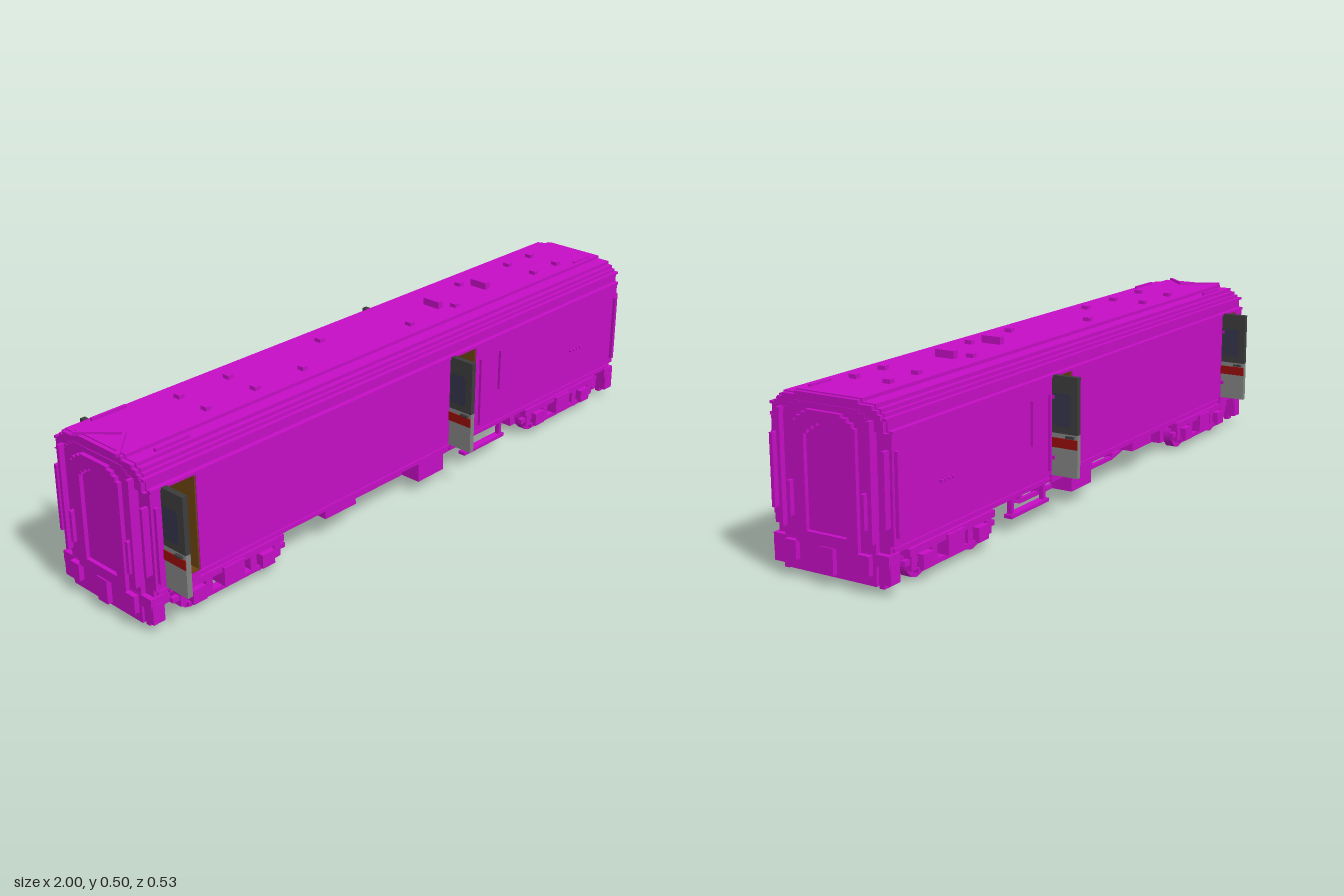
import * as THREE from 'three';

const mat = (name, color) => {
  const m = new THREE.MeshStandardMaterial({ color });
  m.name = name;
  return m;
};

export function createModel() {
  const body = mat('magenta', 0xc40ec4), dark = mat('dark grey', 0x3c3c3c), grey = mat('grey', 0x828282);
  const glass = mat('blue glass', 0x34344c), red = mat('red', 0x960c0c), wood = mat('brown', 0x6b4410);
  const model = new THREE.Group();

  const add = (name, geo, m = body, parent = model) => {
    const mesh = new THREE.Mesh(geo, m);
    mesh.name = name;
    parent.add(mesh);
    return mesh;
  };
  // Box from its minimum and maximum along each axis
  const box = (name, x0, x1, y0, y1, z0, z1, m = body, parent = model) => {
    const g = new THREE.BoxGeometry(x1 - x0, y1 - y0, z1 - z0);
    g.translate((x0 + x1) / 2, (y0 + y1) / 2, (z0 + z1) / 2);
    return add(name, g, m, parent);
  };
  // Symmetric cross-section from [half width, y] points, run along x
  const outline = (half, Type = THREE.Shape) => new Type([
    ...half.map(([z, y]) => new THREE.Vector2(z, y)),
    ...half.slice().reverse().map(([z, y]) => new THREE.Vector2(-z, y))]);
  const alongX = (name, shape, x0, x1, m = body) => {
    const g = new THREE.ExtrudeGeometry(shape, { depth: x1 - x0, bevelEnabled: false });
    g.rotateY(Math.PI / 2).translate(x0, 0, 0);
    return add(name, g, m);
  };
  // Square bar between two points
  const bar = (name, a, b, t, parent = model) => {
    const A = new THREE.Vector3(...a), B = new THREE.Vector3(...b);
    const mesh = add(name, new THREE.BoxGeometry(t, t, A.distanceTo(B)), body, parent);
    mesh.position.copy(A).add(B).multiplyScalar(0.5);
    mesh.lookAt(B);
    return mesh;
  };

  // Stepped body shell with two cross passages
  const roof = [[0.183, 0.405], [0.172, 0.405], [0.172, 0.435], [0.165, 0.435], [0.165, 0.446],
    [0.155, 0.446], [0.155, 0.456], [0.14, 0.456], [0.14, 0.466], [0.1, 0.466], [0.1, 0.475]];
  const wall = [[0.172, 0.1], [0.172, 0.125], [0.183, 0.125]];
  const doorways = [[-0.925, -0.825], [0.15, 0.255]];
  [[-0.97, -0.925], [-0.825, 0.15], [0.255, 0.97]].forEach(([a, b]) =>
    alongX('bodyShell', outline([...wall, ...roof]), a, b));
  for (const [a, b] of doorways) {
    alongX('doorwayRoof', outline(roof), a, b);
    box('doorwaySill', a, b, 0.1, 0.123, -0.18, 0.18);
    box('passageFloor', a, b, 0.123, 0.126, -0.18, 0.18, wood);
    box('passageCeiling', a, b, 0.401, 0.405, -0.18, 0.18, wood);
    box('passageWall', a, a + 0.004, 0.125, 0.405, -0.18, 0.18, wood);
    box('passageWall', b - 0.004, b, 0.125, 0.405, -0.18, 0.18, wood);
  }

  // Open doors: front pair hinged at the low x edge, rear pair at the high x edge
  const makeDoor = (x, s) => {
    const door = new THREE.Group();
    door.name = 'openDoor';
    box('doorTop', -0.008, 0.008, 0.245, 0.405, 0.165, 0.264, dark, door);
    box('doorBottom', -0.008, 0.008, 0.124, 0.245, 0.165, 0.264, grey, door);
    box('doorStripe', -0.011, -0.007, 0.205, 0.232, 0.165, 0.264, red, door);
    box('doorHandle', -0.016, -0.008, 0.235, 0.241, 0.23, 0.255, dark, door);
    const pane = new THREE.Shape();
    const [w, h, c] = [0.028, 0.046, 0.012];
    pane.moveTo(-w + c, -h).lineTo(w - c, -h).quadraticCurveTo(w, -h, w, -h + c)
      .lineTo(w, h - c).quadraticCurveTo(w, h, w - c, h).lineTo(-w + c, h)
      .quadraticCurveTo(-w, h, -w, h - c).lineTo(-w, -h + c).quadraticCurveTo(-w, -h, -w + c, -h);
    for (const side of [-1, 1]) {
      const p = add('doorWindow', new THREE.ShapeGeometry(pane), glass, door);
      p.position.set(side * 0.0095, 0.311, 0.215);
      p.rotation.y = side * Math.PI / 2;
    }
    if (s < 0) door.rotation.y = Math.PI;
    door.position.x = x;
    model.add(door);
  };
  for (const [a, b] of doorways) {
    makeDoor(a - 0.004, 1);
    makeDoor(b - 0.004, -1);
  }

  // Side trim, rails and slots
  for (const s of [-1, 1]) {
    const side = (name, x0, x1, y0, y1, zOut) =>
      box(name, x0, x1, y0, y1, Math.min(s * 0.165, s * zOut), Math.max(s * 0.165, s * zOut));
    side('eavesGutter', -0.97, 0.97, 0.398, 0.406, 0.187);
    side('roofGutter', -0.98, 0.98, 0.43, 0.437, 0.177);
    side('soleBar', -0.96, 0.96, 0.107, 0.116, 0.177);
    for (const x of [0.275, 0.365]) side('handrail', x - 0.003, x + 0.003, x < 0.3 ? 0.14 : 0.23, 0.355, 0.191);
    side('cornerRail', -0.962, -0.952, 0.145, 0.357, 0.193);
    side('cornerRail', 0.952, 0.962, 0.145, 0.357, 0.193);
    for (let i = 0; i < 4; i++) side('sideSlot', 0.725 + i * 0.016, 0.735 + i * 0.016, 0.236, 0.243, 0.19);
    for (const [a, b] of doorways) {
      const x = s > 0 ? a : b;
      side('doorHinge', x - 0.008, x + 0.008, 0.34, 0.35, 0.193);
      side('doorHinge', x - 0.008, x + 0.008, 0.17, 0.18, 0.193);
    }
    // V-shaped rain strip and roof strips
    bar('rainStrip', [-0.9, 0.477, 0.01], [-0.985, 0.474, s * 0.09], 0.01);
    box('roofStrip', -0.9, -0.79, 0.462, 0.474, s * 0.125 - 0.004, s * 0.125 + 0.004);
  }
  box('roofStrip', 0.86, 0.94, 0.47, 0.48, 0.08, 0.088);

  // Roof vents
  const vents = [[-0.055, [-0.67, -0.5, -0.155, 0.455, 0.695, 0.81]],
    [0.05, [-0.67, -0.5, -0.325, 0.11, 0.31, 0.695, 0.81]]];
  for (const [z, xs] of vents)
    for (const x of xs) box('roofVent', x - 0.009, x + 0.009, 0.47, 0.486, z - 0.011, z + 0.011);
  for (const x of [0.27, 0.49]) box('largeRoofVent', x - 0.01, x + 0.01, 0.47, 0.496, -0.03, 0.03);

  // Ends: panel, arched gangway frame, rails and coupling
  const arch = (w, y0, y1) => [[w, y0], [w, y1 - 0.03], [w - 0.01, y1 - 0.03], [w - 0.01, y1 - 0.018],
    [w - 0.025, y1 - 0.018], [w - 0.025, y1 - 0.008], [w - 0.042, y1 - 0.008], [w - 0.042, y1]];
  for (const s of [-1, 1]) {
    const ends = (name, shape, a, b) => alongX(name, shape, Math.min(s * a, s * b), Math.max(s * a, s * b));
    const eBox = (name, a, b, ...r) => box(name, Math.min(s * a, s * b), Math.max(s * a, s * b), ...r);
    ends('roofEnd', outline(roof.map(([z, y]) => [z - 0.004, y - 0.003])), 0.965, 0.982);
    ends('endPanel', outline(arch(0.14, 0.1, 0.45)), 0.965, 0.984);
    const frame = outline(arch(0.095, 0.1, 0.435));
    frame.holes.push(outline(arch(0.062, 0.13, 0.405), THREE.Path));
    ends('gangwayFrame', frame, 0.98, 0.996);
    eBox('headstock', 0.94, 0.985, 0.073, 0.104, -0.178, 0.178);
    eBox('couplingBlock', 0.93, 0.985, 0.022, 0.075, -0.14, 0.14);
    eBox('coupler', 0.97, 1, 0.03, 0.1, -0.02, 0.02);
    for (const k of [-1, 1]) {
      const pair = (name, a, b, y0, y1, z0, z1) =>
        eBox(name, a, b, y0, y1, Math.min(k * z0, k * z1), Math.max(k * z0, k * z1));
      pair('endRail', 0.98, 1, 0.13, 0.43, 0.132, 0.142);
      pair('outerEndRail', 0.965, 0.99, 0.17, 0.36, 0.165, 0.175);
      pair('endHose', 0.98, 0.998, 0.16, 0.25, 0.108, 0.118);
      pair('buffer', 0.97, 1, 0.05, 0.1, 0.095, 0.13);
      pair('cornerStep', 0.945, 0.982, 0.03, 0.085, 0.145, 0.18);
      pair('stepHanger', 0.95, 0.975, 0.015, 0.05, 0.14, 0.155);
    }
  }

  // Bogies
  for (const cx of [-0.71, 0.71]) {
    const bogie = new THREE.Group();
    bogie.name = 'bogie';
    bogie.position.x = cx;
    model.add(bogie);
    box('bogieCore', -0.185, 0.185, 0.022, 0.1, -0.112, 0.112, body, bogie);
    for (const s of [-1, 1]) {
      const b = (name, x0, x1, y0, y1, z0, z1) =>
        box(name, x0, x1, y0, y1, Math.min(s * z0, s * z1), Math.max(s * z0, s * z1), body, bogie);
      b('topBeam', -0.185, 0.185, 0.076, 0.095, 0.14, 0.172);
      b('lowerBeam', -0.15, 0.15, 0.024, 0.036, 0.145, 0.17);
      b('bolster', -0.035, 0.035, 0.036, 0.09, 0.11, 0.18);
      b('brakePost', -0.01, 0.01, 0.011, 0.03, 0.05, 0.06);
      for (const x of [-0.12, 0.12]) {
        const wheel = new THREE.CylinderGeometry(0.044, 0.044, 0.03, 12);
        wheel.rotateX(Math.PI / 2).translate(x, 0.044, s * 0.128);
        add('wheel', wheel, body, bogie);
        b('axleBox', x - 0.022, x + 0.022, 0.03, 0.07, 0.14, 0.181);
        for (const d of [-0.043, 0.043]) b('spring', x + d - 0.011, x + d + 0.011, 0.034, 0.08, 0.145, 0.168);
      }
      for (const e of [-1, 1]) bar('frameEnd', [e * 0.18, 0.085, s * 0.157], [e * 0.145, 0.03, s * 0.157], 0.014, bogie);
    }
  }

  // Underframe truss and equipment
  box('centreSill', -0.5, 0.5, 0.082, 0.1, -0.03, 0.03);
  for (const s of [-1, 1]) {
    const z = s * 0.1;
    box('trussSill', -0.48, 0.48, 0.085, 0.1, z - 0.012, z + 0.012);
    bar('trussRod', [-0.46, 0.095, z], [-0.22, 0.046, z], 0.012);
    bar('trussRod', [-0.22, 0.046, z], [0.3, 0.046, z], 0.012);
    bar('trussRod', [0.3, 0.046, z], [0.44, 0.095, z], 0.012);
    for (const x of [-0.22, -0.09, 0.2, 0.3]) box('trussPost', x - 0.007, x + 0.007, 0.046, 0.1, z - 0.007, z + 0.007);
    box('equipmentBox', 0.02, 0.13, 0.04, 0.1, Math.min(s * 0.1, s * 0.17), Math.max(s * 0.1, s * 0.17));
    box('sideTank', -0.36, -0.24, 0.07, 0.1, s * 0.135 - 0.03, s * 0.135 + 0.03);
    box('stepBoard', 0.24, 0.43, 0.04, 0.05, s * 0.15 - 0.012, s * 0.15 + 0.012);
    for (const x of [0.25, 0.41]) box('stepBracket', x, x + 0.012, 0.05, 0.1, s * 0.15 - 0.007, s * 0.15 + 0.007);
  }
  for (const x of [-0.22, -0.09, 0.2, 0.3]) box('crossBeam', x - 0.007, x + 0.007, 0.046, 0.058, -0.1, 0.1);
  box('batteryBox', -0.05, 0.0, 0.045, 0.1, -0.06, 0.06);

  return model;
}
